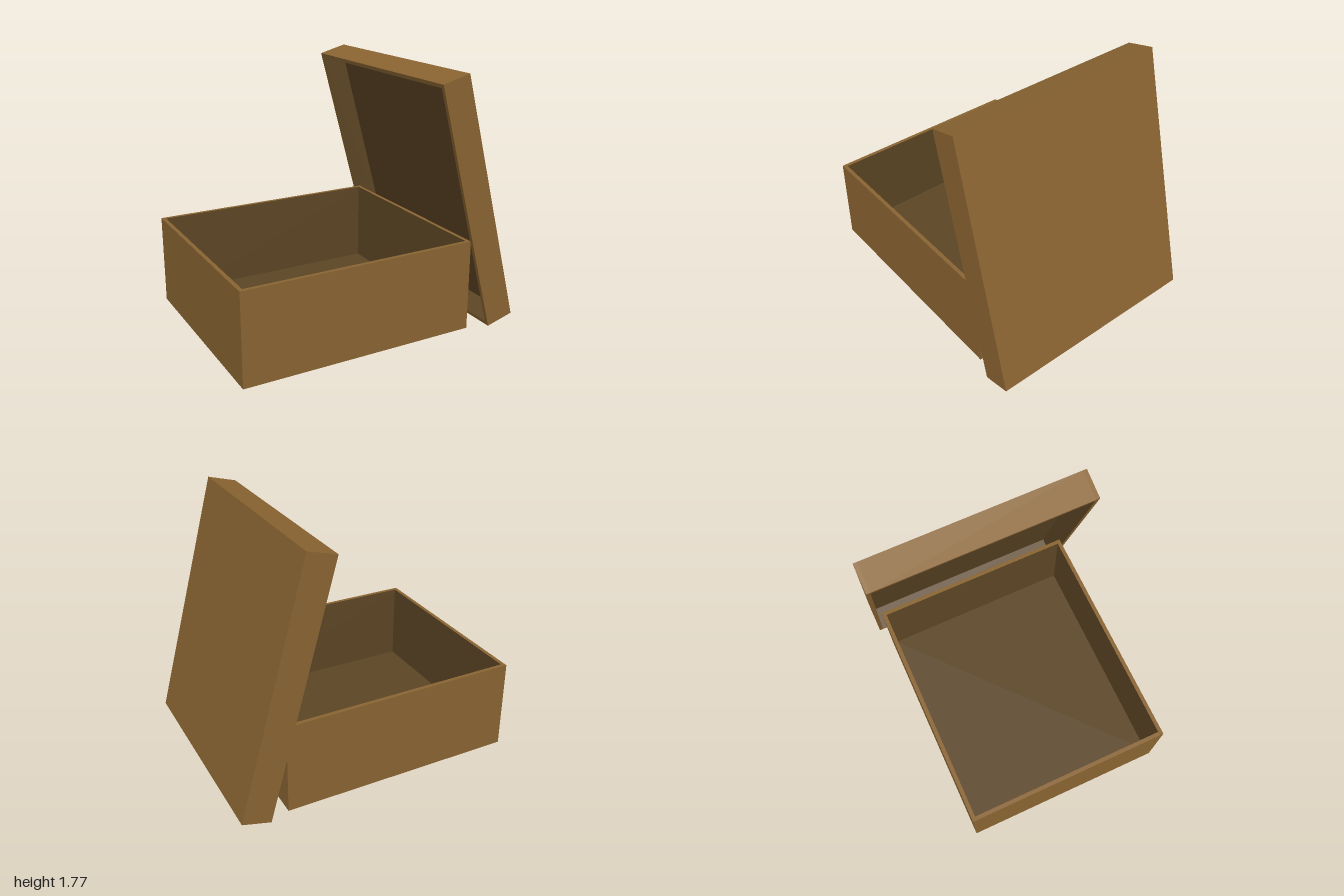
import * as THREE from 'three';

const outer = new THREE.MeshStandardMaterial({ color: 0x8b6532 });
outer.name = 'cardboard brown';
const lining = new THREE.MeshStandardMaterial({ color: 0x5d4625 });
lining.name = 'dark lining brown';

// Open tray standing on y = 0; faces towards the hollow take the lining colour
function makeTray(name, length, height, width, wall, floor) {
  const tray = new THREE.Group();
  tray.name = name;

  // liningFace: 0 +x, 1 -x, 2 +y, 3 -y, 4 +z, 5 -z
  const panel = (part, size, position, liningFace) => {
    const materials = Array(6).fill(outer);
    materials[liningFace] = lining;
    const mesh = new THREE.Mesh(new THREE.BoxGeometry(...size), materials);
    mesh.position.set(...position);
    mesh.name = part;
    tray.add(mesh);
  };

  for (const s of [1, -1]) {
    // Long walls run the full length, end walls fit between them
    panel(s > 0 ? 'frontWall' : 'backWall', [length, height, wall],
      [0, height / 2, s * (width - wall) / 2], s > 0 ? 5 : 4);
    panel(s > 0 ? 'leftWall' : 'rightWall', [wall, height, width - 2 * wall],
      [s * (length - wall) / 2, height / 2, 0], s > 0 ? 1 : 0);
  }
  panel('floor', [length - 2 * wall, floor, width - 2 * wall], [0, floor / 2, 0], 2);
  return tray;
}

export function createModel() {
  const model = new THREE.Group();
  model.name = 'openBox';

  // Box body
  const body = makeTray('boxBody', 1.66, 0.635, 1.45, 0.027, 0.055);
  body.position.x = -0.17;
  model.add(body);

  // Lid leaning on the side of the box, hollow side towards it
  const lid = makeTray('lid', 1.777, 0.204, 1.565, 0.027, 0.035);
  lid.rotation.z = THREE.MathUtils.degToRad(105.1);
  lid.position.set(0.768, 0.917, 0);
  model.add(lid);

  return model;
}
